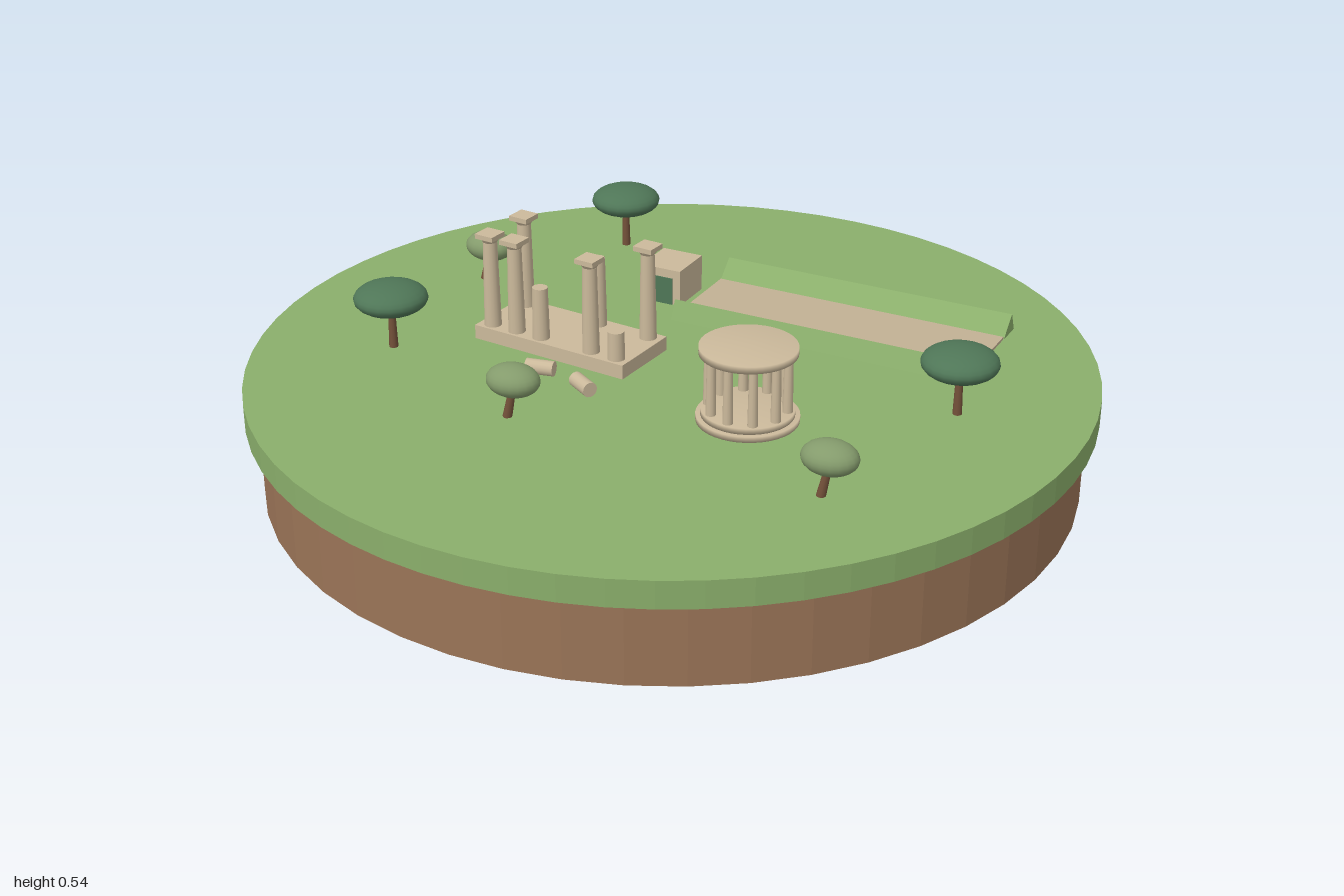
import * as THREE from 'three';

const mat = (name, color, extra = {}) => {
  const m = new THREE.MeshStandardMaterial({ color, ...extra });
  m.name = name;
  return m;
};

export function createModel() {
  const model = new THREE.Group();
  model.name = 'ancientSanctuary';
  const grass = mat('grass', 0x8aae6b, { flatShading: true });
  const earth = mat('earth', 0x9a7457, { flatShading: true });
  const stone = mat('stone', 0xcbb99b);
  const sand = mat('sand', 0xc2b094);
  const pine = mat('pineGreen', 0x4f7657);
  const olive = mat('oliveGreen', 0x849b6c);
  const bark = mat('bark', 0x74513a);
  const G = 0.265; // ground level

  const add = (parent, name, geo, material, x = 0, y = 0, z = 0) => {
    const mesh = new THREE.Mesh(geo, material);
    mesh.name = name;
    mesh.position.set(x, y, z);
    parent.add(mesh);
    return mesh;
  };
  const group = (name, x, z, turn = 0) => {
    const g = new THREE.Group();
    g.name = name;
    g.position.set(x, G, z);
    g.rotation.y = turn;
    model.add(g);
    return g;
  };
  const cyl = (rt, rb, h, n = 16) => new THREE.CylinderGeometry(rt, rb, h, n);
  const box = (w, h, d) => new THREE.BoxGeometry(w, h, d);

  // Round island
  add(model, 'earthDisc', cyl(0.97, 0.97, 0.2, 48), earth, 0, 0.1, 0);
  add(model, 'grassDisc', cyl(1, 1, 0.065, 64), grass, 0, 0.2325, 0);

  // Ruined temple: platform with whole and broken columns [u, v, top]
  const temple = group('ruinedTemple', -0.255, -0.02, -0.335);
  add(temple, 'platform', box(0.425, 0.035, 0.19), stone, 0, 0.0175, 0);
  const full = 0.272;
  const columns = [
    [-0.178, 0.068, full], [-0.107, 0.068, full], [-0.036, 0.068, 0.165],
    [0.107, 0.068, full], [0.178, 0.068, 0.105],
    [-0.178, -0.068, full], [0.036, -0.068, 0.208], [0.178, -0.068, full],
  ];
  for (const [u, v, top] of columns) {
    const shaft = top === full ? top - 0.022 : top;
    const h = shaft - 0.035;
    add(temple, 'columnShaft', cyl(0.021 - 0.018 * h, 0.021, h), stone, u, 0.035 + h / 2, v);
    if (top === full) {
      add(temple, 'capitalRing', cyl(0.024, 0.017, 0.01), stone, u, top - 0.017, v);
      add(temple, 'capitalSlab', box(0.05, 0.012, 0.05), stone, u, top - 0.006, v);
    }
  }

  // Fallen column drums
  for (const [x, z, turn] of [[-0.278, 0.155, -0.06], [-0.158, 0.22, -0.8]]) {
    const drum = add(group('fallenDrum', x, z, turn), 'drum', cyl(0.018, 0.018, 0.068), stone, 0, 0.018, 0);
    drum.rotation.z = Math.PI / 2;
  }

  // Round colonnade with a stepped base and a flat roof
  const tholos = group('roundTemple', 0.235, 0.267);
  const disc = (name, r, y0, y1) => add(tholos, name, new THREE.LatheGeometry(
    [[0, y0], [r, y0], [r, y1], [0, y1]].map(p => new THREE.Vector2(...p)), 40), stone);
  disc('lowerStep', 0.117, 0, 0.014);
  disc('upperStep', 0.106, 0.014, 0.028);
  disc('roof', 0.111, 0.163, 0.18);
  for (let i = 0; i < 10; i++) {
    const a = i / 10 * Math.PI * 2;
    add(tholos, 'slimColumn', cyl(0.01, 0.012, 0.137, 12), stone,
      0.09 * Math.cos(a), 0.0955, 0.09 * Math.sin(a));
  }

  // Running track between two ridged banks
  const stadium = group('stadium', 0.36, -0.28, -0.255);
  add(stadium, 'track', box(0.76, 0.007, 0.2), sand, 0, 0.0035, 0);
  const L = 0.763;
  for (const side of [-1, 1]) {
    const section = new THREE.Shape([[0.1, 0], [0.172, 0], [0.15, 0.047]]
      .map(([v, y]) => new THREE.Vector2(-side * v, y)));
    const geo = new THREE.ExtrudeGeometry(section, { depth: L, bevelEnabled: false });
    geo.translate(0, 0, -L / 2);
    geo.rotateY(Math.PI / 2);
    add(stadium, 'bank', geo, grass);
  }

  // Stone gatehouse at the end of the track
  const gate = group('gatehouse', -0.087, -0.368, -0.255);
  add(gate, 'gateBlock', box(0.108, 0.092, 0.12), stone, 0, 0.046, 0);
  add(gate, 'gateDoor', box(0.066, 0.07, 0.004), pine, 0, 0.035, 0.061);

  // Trees with flattened crowns
  const crown = (parent, material, rx, ry, rz, x, y) => {
    const geo = new THREE.SphereGeometry(1, 20, 14);
    geo.scale(rx, ry, rz);
    return add(parent, 'crown', geo, material, x, y, 0);
  };
  for (const [x, z] of [[-0.28, -0.66], [-0.663, 0.088], [0.687, 0.137]]) {
    const tree = group('pineTree', x, z);
    add(tree, 'trunk', cyl(0.008, 0.011, 0.11, 10), bark, 0, 0.055, 0);
    crown(tree, pine, 0.089, 0.038, 0.089, 0, 0.127);
  }
  for (const [x, z] of [[-0.56, -0.355], [-0.273, 0.378], [0.468, 0.575]]) {
    const tree = group('oliveTree', x, z);
    const trunk = add(tree, 'trunk', cyl(0.008, 0.011, 0.075, 10), bark, -0.009, 0.036, 0);
    trunk.rotation.z = -0.2;
    crown(tree, olive, 0.064, 0.037, 0.052, 0, 0.092).rotation.y = -0.25;
  }
  return model;
}
